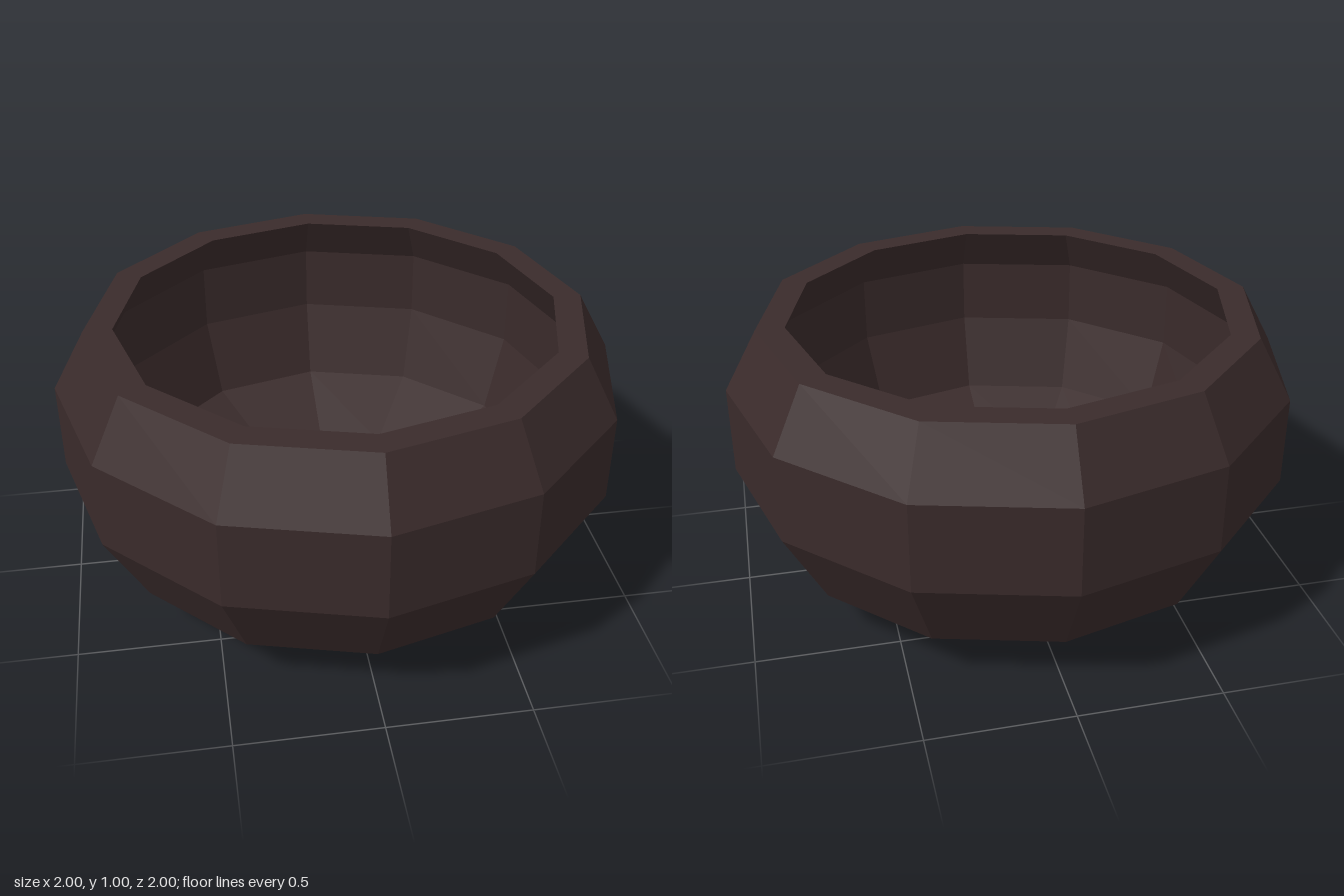
import * as THREE from 'three';

const SIDES = 12;

export function createModel() {
  const bowl = new THREE.Group();
  bowl.name = 'bowl';
  const darkClay = new THREE.MeshStandardMaterial({ color: 0x3a2b2b, flatShading: true });
  darkClay.name = 'dark clay';

  // Turns a profile of [radius, height] points into a faceted ring
  const turn = (name, profile) => {
    const points = profile.map(([r, y]) => new THREE.Vector2(r, y));
    const mesh = new THREE.Mesh(new THREE.LatheGeometry(points, SIDES), darkClay);
    mesh.name = name;
    bowl.add(mesh);
  };

  // Each profile starts where the one before it ends, so the shell is closed
  turn('foot', [[0, 0], [0.53, 0], [0.53, 0.065]]);
  turn('outerWall', [[0.53, 0.065], [0.845, 0.18], [1, 0.475], [1, 0.79], [0.88, 1.005]]);
  turn('rim', [[0.88, 1.005], [0.78, 1.005]]);
  turn('innerWall', [[0.78, 1.005], [0.865, 0.845], [0.865, 0.6], [0.78, 0.315], [0.465, 0.18]]);
  turn('innerFloor', [[0.465, 0.18], [0, 0.18]]);

  return bowl;
}
